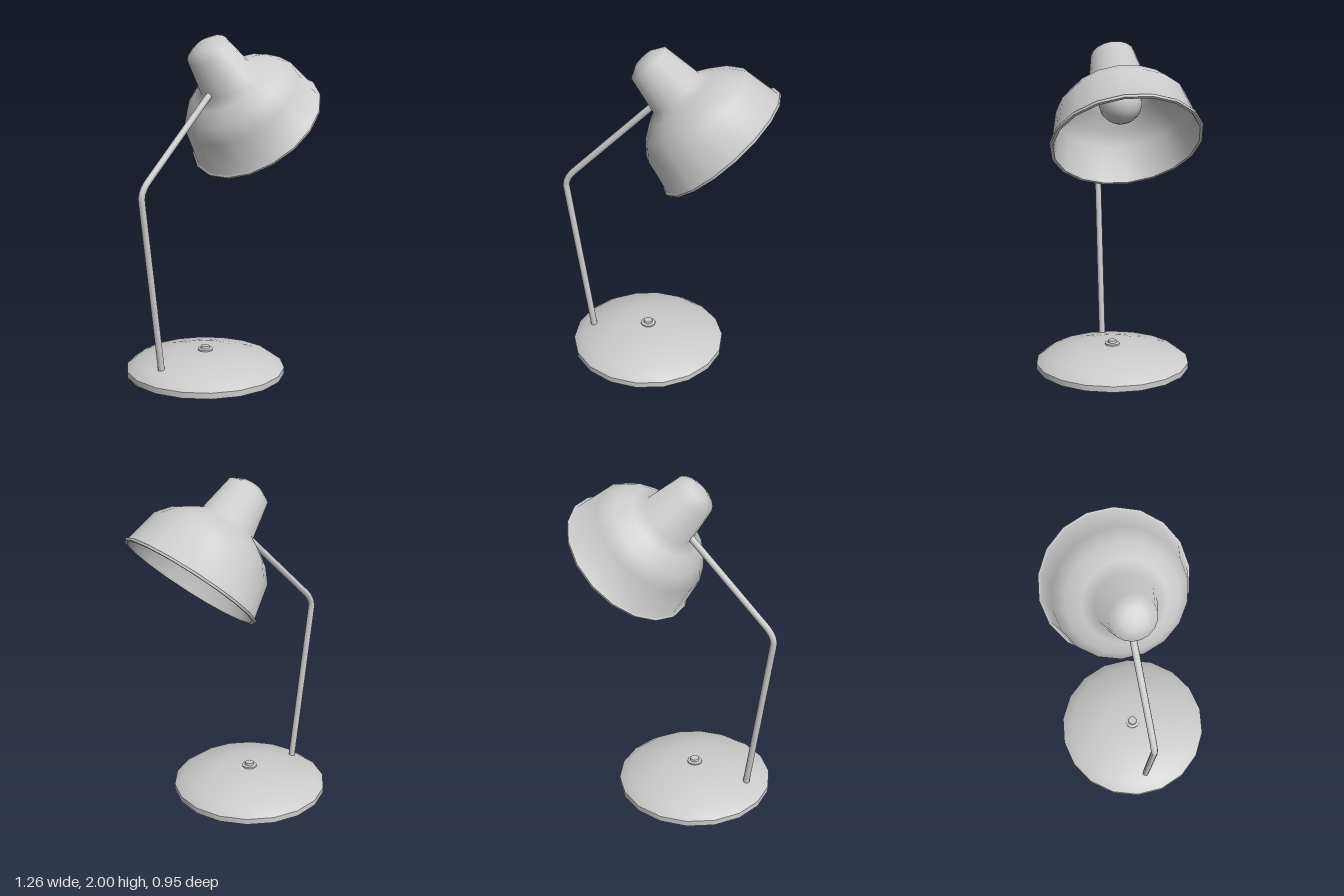
import * as THREE from 'three';
import { toCreasedNormals } from 'three/addons/utils/BufferGeometryUtils.js';

const SIDES = 18;

export function createModel() {
  const lamp = new THREE.Group();
  lamp.name = 'deskLamp';
  const material = new THREE.MeshStandardMaterial({ color: 0xcccccc });

  const add = (parent, name, geometry, x = 0, y = 0, z = 0) => {
    const mesh = new THREE.Mesh(geometry, material);
    mesh.name = name;
    mesh.position.set(x, y, z);
    parent.add(mesh);
    return mesh;
  };
  // Turned part from [radius, height] pairs, listed from the bottom outwards and up
  const turned = (points, crease = 0.9) => toCreasedNormals(
    new THREE.LatheGeometry(points.map(([r, y]) => new THREE.Vector2(r, y)), SIDES), crease);

  // Weighted base with its stepped switch button
  add(lamp, 'base', turned([
    [0, 0], [0.475, 0], [0.475, 0.035], [0.41, 0.083], [0.19, 0.133], [0, 0.133],
  ]), -0.128);
  add(lamp, 'switchButton', turned([
    [0.045, 0.125], [0.045, 0.142], [0.028, 0.146], [0.026, 0.16], [0, 0.161],
  ]), -0.128);

  // Bent arm: two straight runs joined by a short curve
  const v = (x, y) => new THREE.Vector3(x, y, 0);
  const path = new THREE.CurvePath();
  const bendStart = v(-0.612, 1.09), bendEnd = v(-0.565, 1.2);
  path.add(new THREE.LineCurve3(v(-0.478, 0.07), bendStart));
  path.add(new THREE.QuadraticBezierCurve3(bendStart, v(-0.622, 1.143), bendEnd));
  path.add(new THREE.LineCurve3(bendEnd, v(-0.085, 1.66)));
  add(lamp, 'arm', new THREE.TubeGeometry(path, 64, 0.02, 10));

  // Tilted head, with its origin at the middle of the shade opening
  const head = new THREE.Group();
  head.name = 'head';
  head.position.set(0.305, 1.455, 0);
  head.rotation.z = THREE.MathUtils.degToRad(42.1);
  lamp.add(head);

  // Shade wall: inner face down to the rolled rim, then outer face up to the cap
  add(head, 'shade', turned([
    [0, 0.64], [0.06, 0.64], [0.118, 0.605], [0.158, 0.385], [0.222, 0.343],
    [0.303, 0.285], [0.366, 0.212], [0.408, 0.012], [0.415, -0.006],
    [0.432, -0.006], [0.435, 0.008], [0.42, 0.014],
    [0.378, 0.217], [0.315, 0.296], [0.234, 0.355], [0.17, 0.393],
    [0.13, 0.617], [0.065, 0.655], [0, 0.66],
  ], 1.1));

  // Bulb and its socket
  add(head, 'bulb', new THREE.SphereGeometry(0.125, 18, 14), 0, 0.275);
  add(head, 'bulbSocket', new THREE.CylinderGeometry(0.06, 0.07, 0.28, SIDES), 0, 0.5);

  return lamp;
}
